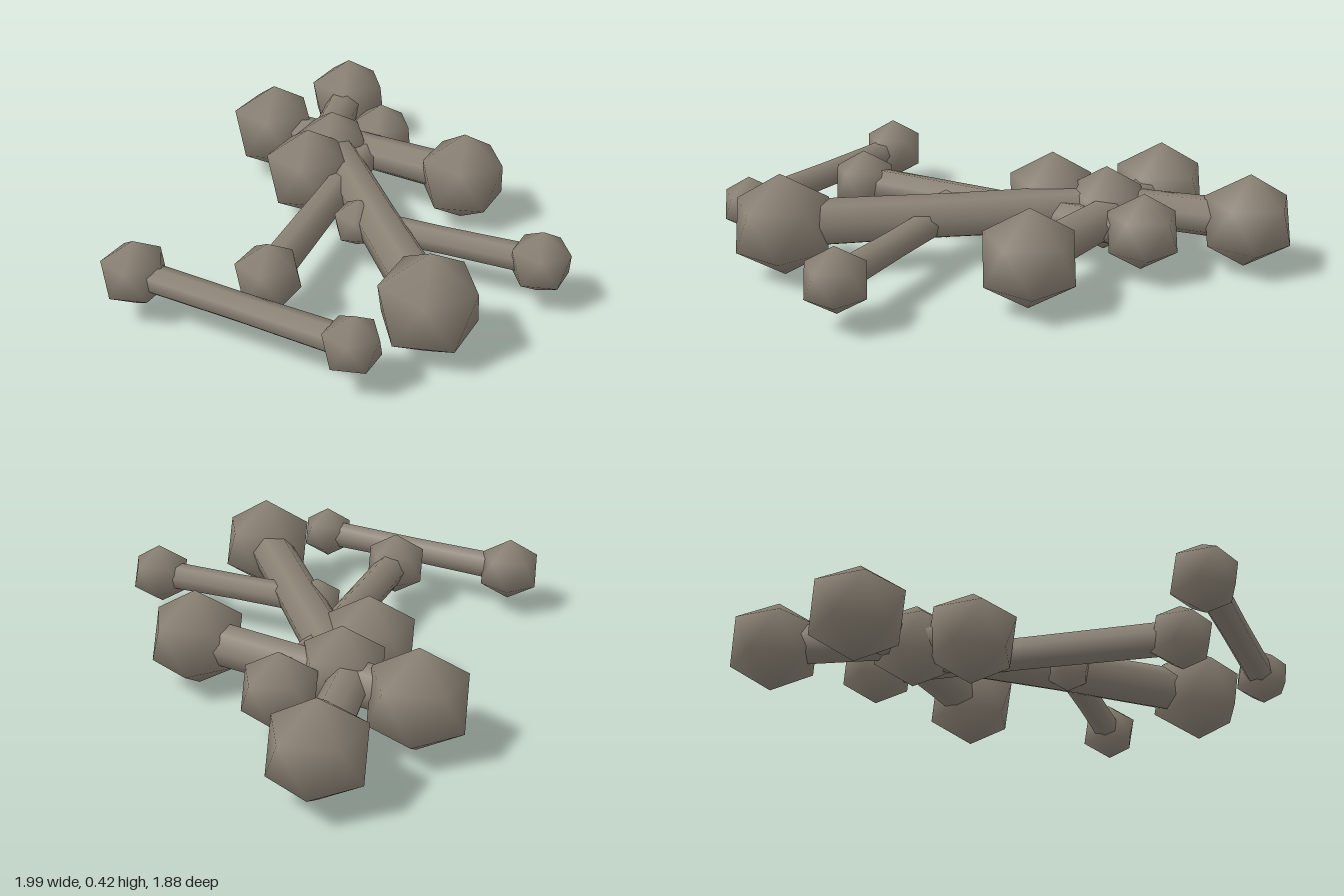
import * as THREE from 'three';

const bone = new THREE.MeshStandardMaterial({ color: 0x8a8174 });
bone.name = 'weatheredBone';

// Twenty-sided knob with a corner pointing up and smooth normals
function knobGeometry(radius) {
  const geo = new THREE.IcosahedronGeometry(1, 0);
  geo.rotateZ(-Math.atan(2 / (1 + Math.sqrt(5))));
  geo.setAttribute('normal', geo.attributes.position.clone());
  geo.scale(radius, radius, radius);
  return geo;
}

// Low-sided shaft, slightly waisted in the middle, lying between two points
function shaft(a, b, radius) {
  const dir = b.clone().sub(a);
  const length = dir.length();
  const geo = new THREE.CylinderGeometry(radius, radius, length, 7, 2);
  const pos = geo.attributes.position;
  for (let i = 0; i < pos.count; i++) {
    if (Math.abs(pos.getY(i)) < 0.001) {
      pos.setXYZ(i, pos.getX(i) * 0.94, pos.getY(i), pos.getZ(i) * 0.94);
    }
  }
  const mesh = new THREE.Mesh(geo, bone);
  mesh.name = 'shaft';
  mesh.position.copy(a).add(b).multiplyScalar(0.5);
  mesh.quaternion.setFromUnitVectors(new THREE.Vector3(0, 1, 0), dir.normalize());
  return mesh;
}

// Each end is [x, y, z, knob radius]
function makeBone(name, endA, endB, radius) {
  const group = new THREE.Group();
  group.name = name;
  const points = [endA, endB].map(([x, y, z, r]) => {
    const knob = new THREE.Mesh(knobGeometry(r), bone);
    knob.name = 'knob';
    knob.position.set(x, y, z);
    group.add(knob);
    return knob.position;
  });
  group.add(shaft(points[0], points[1], radius));
  return group;
}

export function createModel() {
  const model = new THREE.Group();
  model.name = 'bonePile';
  model.add(
    makeBone('longBone', [-0.25, 0.215, 0.73, 0.212], [0.37, 0.21, -0.42, 0.18], 0.098),
    makeBone('backBone', [0.82, 0.21, -0.77, 0.195], [0.14, 0.21, -0.33, 0.2], 0.085),
    makeBone('sideBone', [0.59, 0.21, 0.17, 0.2], [0.335, 0.21, -0.77, 0.205], 0.086),
    makeBone('crossBone', [-0.53, 0.2, 0.17, 0.14], [0.635, 0.2, -0.37, 0.158], 0.072),
    makeBone('looseBone', [-0.87, 0.19, -0.21, 0.14], [-0.6, 0.19, 0.69, 0.12], 0.06),
    makeBone('frontBone', [0.295, 0.195, 0.82, 0.132], [0, 0.195, 0.115, 0.105], 0.06)
  );
  return model;
}
